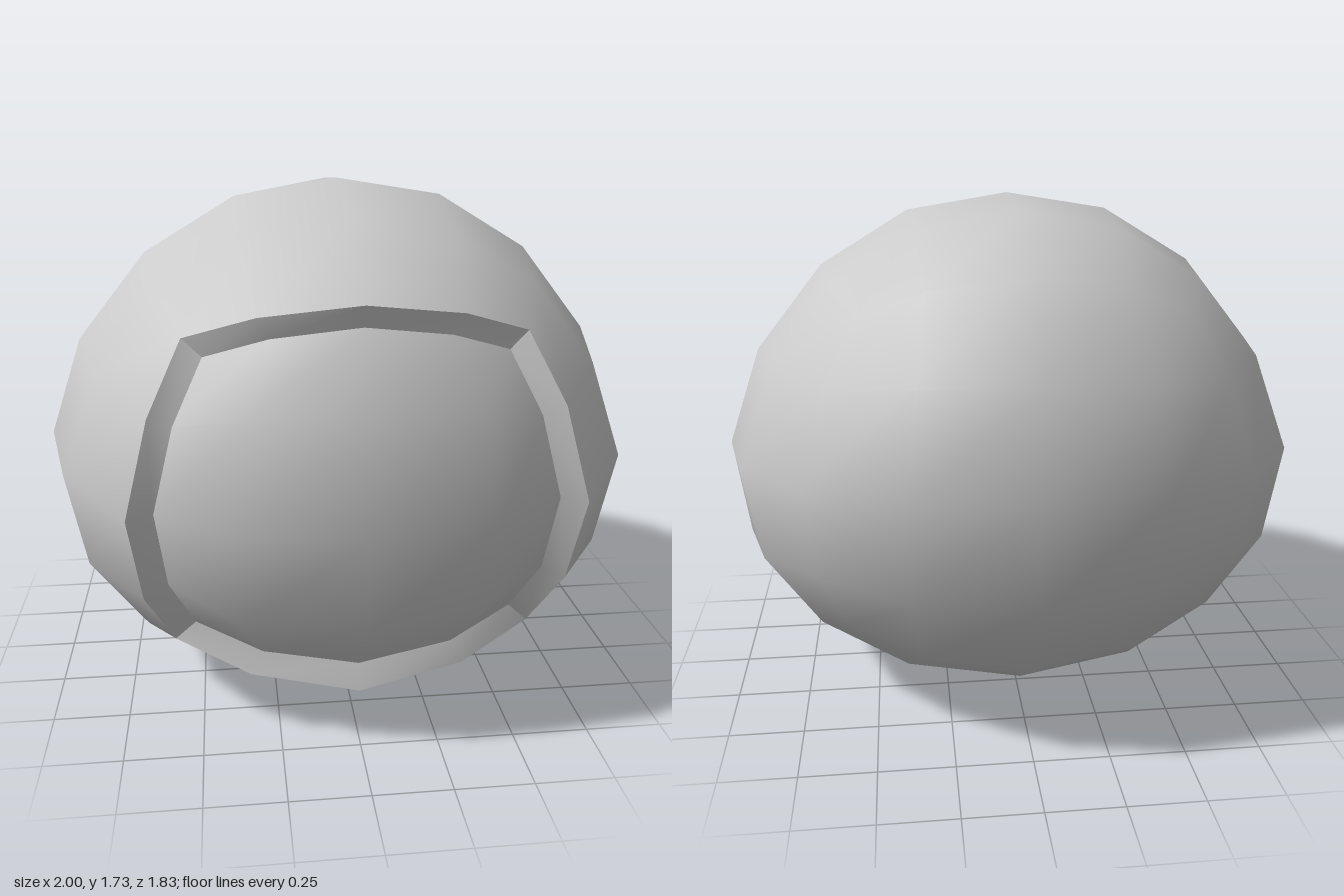
import * as THREE from 'three';
import { mergeGeometries, mergeVertices } from 'three/addons/utils/BufferGeometryUtils.js';

const N = 4; // segments along each side of a cube face

// Cube point on the front face; a and b run from -1 to 1.
// Face midlines are spaced by angle, face edges evenly.
const spread = (a, b) => THREE.MathUtils.lerp(Math.tan(a * Math.PI / 4), a, b * b);
const cubePoint = (a, b) => [spread(a, b), spread(b, a)];

// Rounds a cube point into the tapered, slightly tilted, boxy ball.
function ball(x, y, z) {
  const p = new THREE.Vector3(x, y, z).normalize();
  const [u, v, w] = [p.x * p.x, p.y * p.y, p.z * p.z];
  const corner = 27 * u * v * w;
  const edge = 4 * (u * v + v * w + u * w) - 36 * u * v * w;
  return new THREE.Vector3(
    p.x * (1 - 0.095 * p.y) * (1 - 0.05 * corner - 0.015 * edge),
    (0.865 * p.y - 0.08 * p.z) * (1 + 0.025 * edge),
    (0.96 * p.z + 0.04 * p.y) * (1 + 0.045 * edge)
  );
}

const frontPoint = (a, b) => ball(...cubePoint(a, b), 1);

// Recessed panel: the border is inset, the inside is pushed back.
function panelPoint(a, b) {
  const p = frontPoint(a, b);
  if (Math.max(Math.abs(a), Math.abs(b)) === 1) {
    p.x *= 0.885;
    p.y *= 0.88;
    p.z += 0.045 * Math.abs(a * b) - 0.03;
  } else {
    p.z *= 0.91;
  }
  return p;
}

// Indexed grid of quads from a rule fn(s, t) with s, t in 0..1.
function grid(fn, nu, nv) {
  const pos = [], index = [];
  for (let j = 0; j <= nv; j++)
    for (let i = 0; i <= nu; i++) pos.push(...fn(i / nu, j / nv).toArray());
  for (let j = 0; j < nv; j++)
    for (let i = 0; i < nu; i++) {
      const k = j * (nu + 1) + i, m = k + nu + 1;
      index.push(k, k + 1, m + 1, k, m + 1, m);
    }
  const g = new THREE.BufferGeometry();
  g.setAttribute('position', new THREE.Float32BufferAttribute(pos, 3));
  g.setIndex(index);
  return g;
}

export function createModel() {
  const group = new THREE.Group();
  group.name = 'roundHelmet';
  const material = new THREE.MeshStandardMaterial({ color: 0xcccccc, side: THREE.DoubleSide });

  const add = (name, geometry) => {
    geometry.computeVertexNormals();
    const mesh = new THREE.Mesh(geometry, material);
    mesh.name = name;
    mesh.position.set(0, 0.867, 0.04);
    group.add(mesh);
  };

  // Shell: the five closed faces of the rounded cube
  const turns = [
    (a, b) => [a, 1, -b],
    (a, b) => [a, -1, b],
    (a, b) => [1, b, -a],
    (a, b) => [-1, b, a],
    (a, b) => [-a, b, -1],
  ];
  const faces = turns.map((turn) =>
    grid((s, t) => ball(...turn(...cubePoint(2 * s - 1, 2 * t - 1))), N, N));
  add('shell', mergeVertices(mergeGeometries(faces), 1e-4));

  // Recessed front panel
  add('facePanel', grid((s, t) => panelPoint(2 * s - 1, 2 * t - 1), N, N));

  // Four walls between the opening's rim and the panel
  const sides = {
    bottom: (c) => [c, -1],
    left: (c) => [1, c],
    top: (c) => [-c, 1],
    right: (c) => [-1, -c],
  };
  for (const [side, at] of Object.entries(sides)) {
    add(`${side}RimWall`, grid((s, t) => {
      const [a, b] = at(2 * s - 1);
      return frontPoint(a, b).lerp(panelPoint(a, b), t);
    }, N, 1));
  }
  return group;
}
